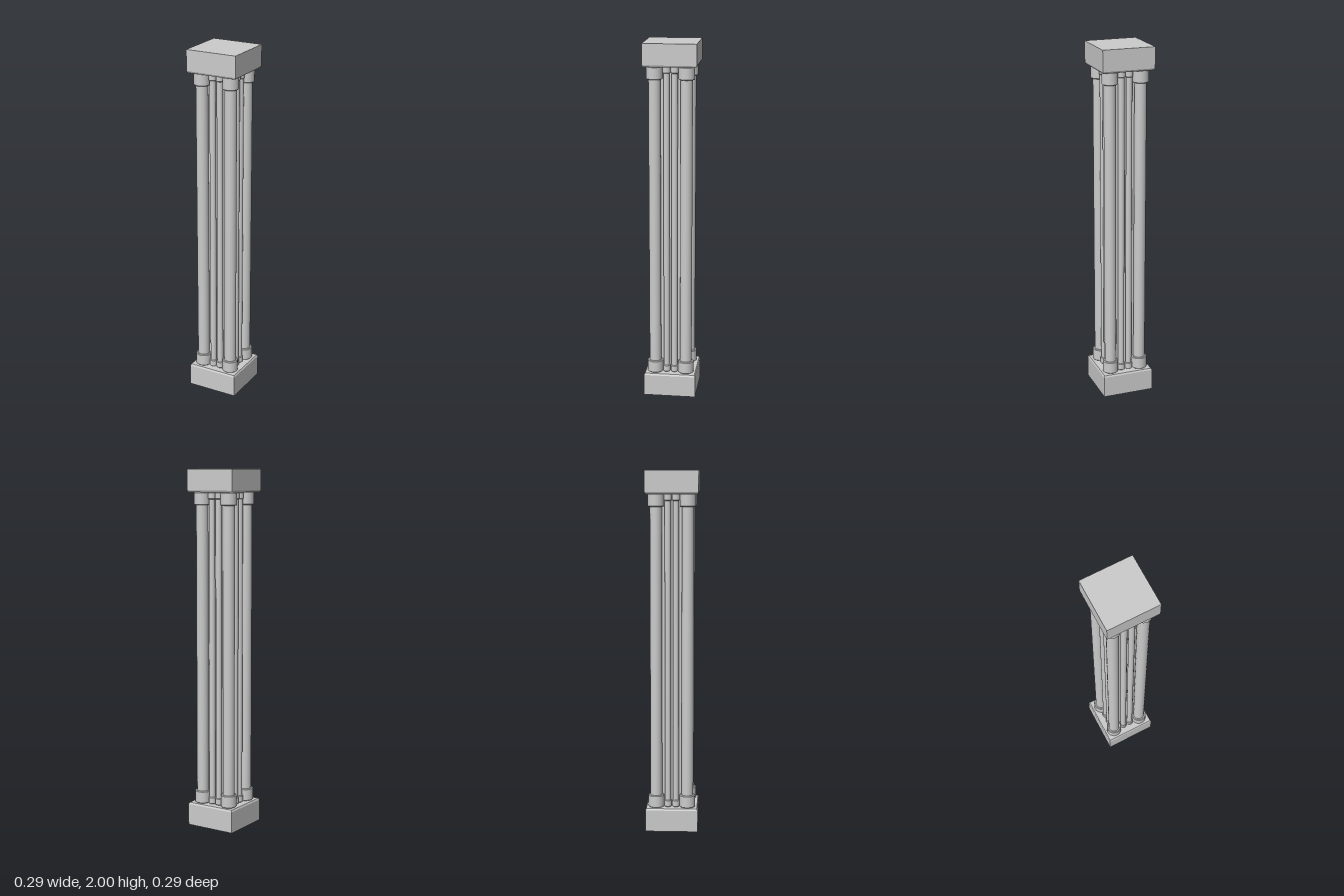
import * as THREE from 'three';

const stone = new THREE.MeshStandardMaterial({ color: 0xcccccc });
const slab = new THREE.MeshStandardMaterial({ color: 0xcccccc, flatShading: true, side: THREE.DoubleSide });

export function createModel() {
  const group = new THREE.Group();
  const add = (name, geometry, material, x = 0, y = 0, z = 0) => {
    const mesh = new THREE.Mesh(geometry, material);
    mesh.name = name;
    mesh.position.set(x, y, z);
    group.add(mesh);
  };

  // Square block swept from a [half width, height] profile
  const block = (profile) => new THREE.LatheGeometry(
    profile.map(([w, y]) => new THREE.Vector2(w * Math.SQRT2, y)), 4, Math.PI / 4);

  // Plinth is hollow and open underneath; both blocks have a small bevel facing the shafts
  add('plinth', block([[0.146, 0], [0.146, 0.12], [0.141, 0.13], [0, 0.13]]), slab);
  add('capital', block([[0, 1.875], [0.141, 1.875], [0.146, 1.885], [0.146, 2], [0, 2]]), slab);

  // Core behind the shafts
  add('core', new THREE.BoxGeometry(0.14, 1.745, 0.14), stone, 0, 1.0025, 0);

  // Shaft with a wider, softly edged collar at each end
  const bottom = 0.13, top = 1.875;
  const addColumn = (name, x, z, radius, collarRadius, low, high) => {
    add(name + 'Shaft', new THREE.CylinderGeometry(radius, radius, top - bottom, 24), stone,
      x, (top + bottom) / 2, z);
    for (const [end, y0, y1] of [['Base', bottom, low], ['Top', high, top]]) {
      const h = y1 - y0, e = 0.004;
      add(name + end + 'Collar', new THREE.CylinderGeometry(collarRadius, collarRadius, h - 2 * e, 24, 1, true),
        stone, x, (y0 + y1) / 2, z);
      add(name + end + 'CollarUpperEdge', new THREE.CylinderGeometry(collarRadius - e, collarRadius, e, 24),
        stone, x, y1 - e / 2, z);
      add(name + end + 'CollarLowerEdge', new THREE.CylinderGeometry(collarRadius, collarRadius - e, e, 24),
        stone, x, y0 + e / 2, z);
    }
  };

  // Four corner columns, and a pair of slender ones on every side
  const c = 0.087, s = 0.022;
  for (const a of [-1, 1]) {
    for (const b of [-1, 1]) {
      addColumn('cornerColumn', a * c, b * c, 0.033, 0.044, 0.2, 1.805);
      addColumn('slenderColumn', a * s, b * c, 0.017, 0.021, 0.17, 1.837);
      addColumn('slenderColumn', a * c, b * s, 0.017, 0.021, 0.17, 1.837);
    }
  }
  return group;
}
